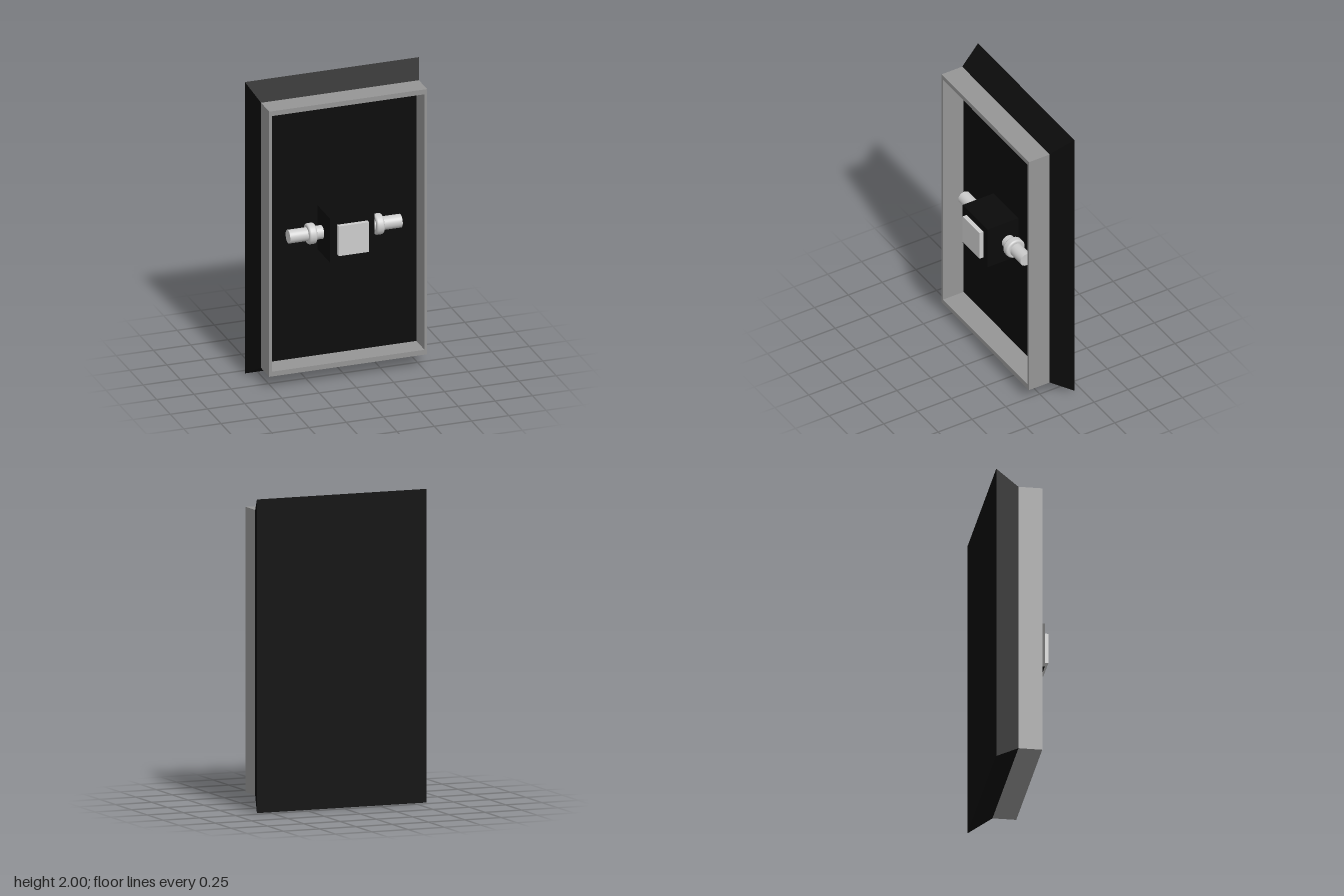
import * as THREE from 'three';

const black = new THREE.MeshStandardMaterial({ color: 0x0a0a0a });
const frameGrey = new THREE.MeshStandardMaterial({ color: 0x959595 });
const grey = new THREE.MeshStandardMaterial({ color: 0xcccccc });

function add(parent, name, geometry, material, x = 0, y = 0, z = 0) {
  const mesh = new THREE.Mesh(geometry, material);
  mesh.name = name;
  mesh.position.set(x, y, z);
  parent.add(mesh);
  return mesh;
}

function rectangle(target, halfW, halfH) {
  target.moveTo(-halfW, -halfH);
  target.lineTo(halfW, -halfH);
  target.lineTo(halfW, halfH);
  target.lineTo(-halfW, halfH);
  target.closePath();
  return target;
}

// Box whose front face is narrowed to a smaller rectangle
function flaredPanel(backW, backH, frontW, frontH, depth) {
  const geometry = new THREE.BoxGeometry(backW, backH, depth);
  const p = geometry.attributes.position;
  for (let i = 0; i < p.count; i++) {
    if (p.getZ(i) > 0) {
      p.setX(i, Math.sign(p.getX(i)) * frontW / 2);
      p.setY(i, Math.sign(p.getY(i)) * frontH / 2);
    }
  }
  geometry.computeVertexNormals();
  return geometry;
}

export function createModel() {
  const model = new THREE.Group();
  model.name = 'framedPanel';

  // Flared back panel; its front face is the floor of the recess
  add(model, 'backPanel', flaredPanel(1.168, 2, 1.06, 1.82, 0.15), black, 0, 1, -0.13);

  // Open rectangular rim
  const rim = rectangle(new THREE.Shape(), 0.53, 0.91);
  rim.holes.push(rectangle(new THREE.Path(), 0.513, 0.877));
  add(model, 'frame', new THREE.ExtrudeGeometry(rim, { depth: 0.152, bevelEnabled: false }),
    frameGrey, 0, 1, -0.055);

  // Central block with raised plate
  add(model, 'centreBlock', new THREE.BoxGeometry(0.3, 0.3, 0.3), black, 0, 1, 0.023);
  add(model, 'frontPlate', new THREE.BoxGeometry(0.204, 0.204, 0.032), grey, 0, 1, 0.187);

  // Side rods, each with a rounded collar
  const rod = new THREE.CylinderGeometry(0.044, 0.044, 0.235, 32);
  const r = 0.068, h = 0.027, b = 0.014;
  const profile = [new THREE.Vector2(0.03, -h)];
  for (const side of [-1, 1]) {
    for (let i = 0; i <= 5; i++) {
      const a = (side < 0 ? i - 5 : i) * Math.PI / 10;
      profile.push(new THREE.Vector2(r - b + b * Math.cos(a), side * (h - b) + b * Math.sin(a)));
    }
  }
  profile.push(new THREE.Vector2(0.03, h));
  const collar = new THREE.LatheGeometry(profile, 32);

  for (const [side, label] of [[1, 'left'], [-1, 'right']]) {
    const handle = new THREE.Group();
    handle.name = label + 'Handle';
    add(handle, label + 'Rod', rod, grey, side * 0.26, 1, 0.023).rotation.z = -side * Math.PI / 2;
    add(handle, label + 'Collar', collar, grey, side * 0.226, 1, 0.023).rotation.z = -side * Math.PI / 2;
    model.add(handle);
  }
  return model;
}
